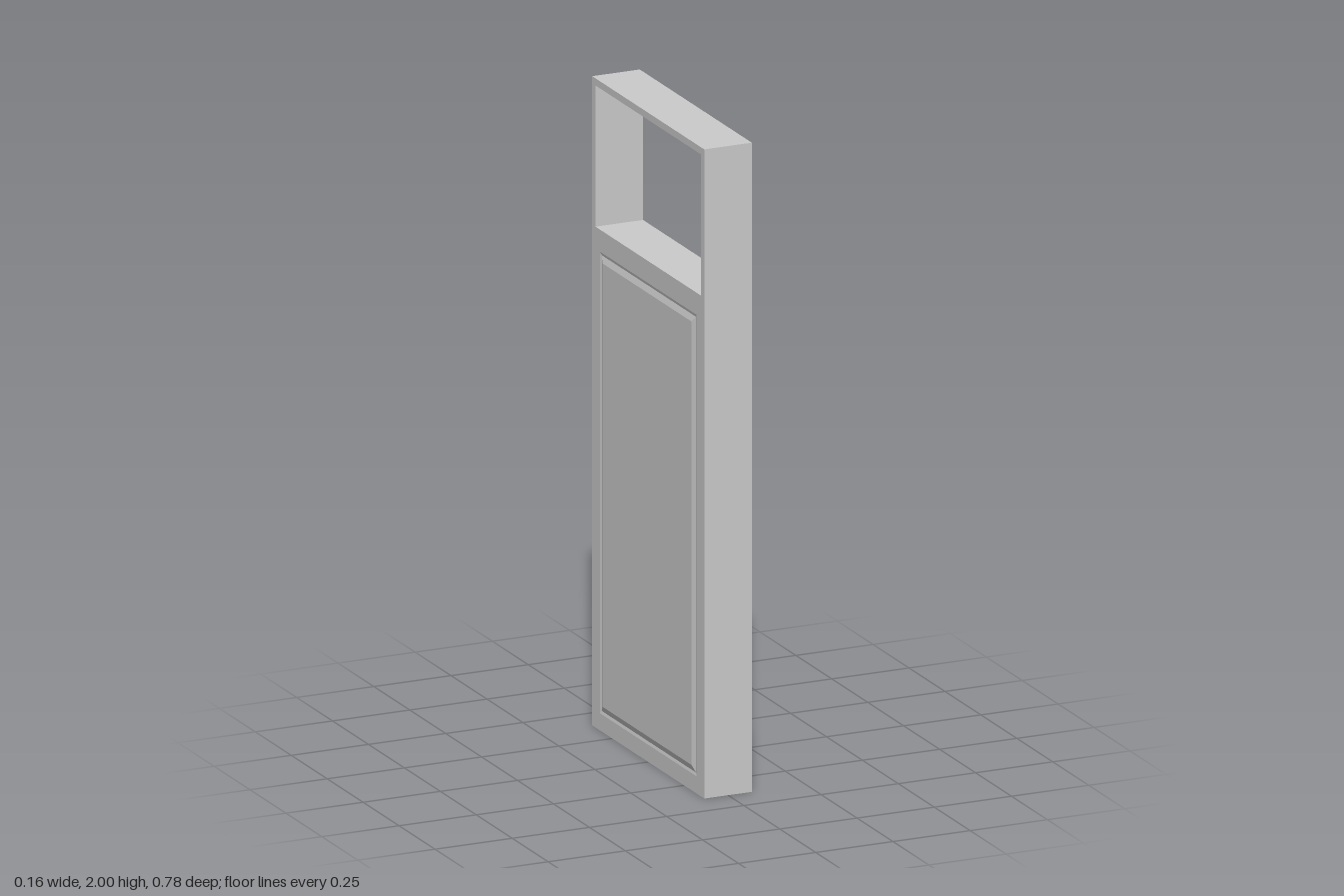
import * as THREE from 'three';

const T = 0.077; // half thickness
const W = 0.39;  // half width
const material = new THREE.MeshStandardMaterial({ color: 0xcccccc, flatShading: true });

// Rectangle at depth x, anticlockwise as seen from +x
const ring = (x, h, y0, y1) => [[x, y0, h], [x, y0, -h], [x, y1, -h], [x, y1, h]];

// Skin a sequence of rectangles, optionally closing the last one
function skin(rings, cap = false) {
  const pos = [];
  const quad = (a, b, c, d) => pos.push(...a, ...b, ...c, ...a, ...c, ...d);
  for (let r = 0; r < rings.length - 1; r++) {
    for (let i = 0; i < 4; i++) {
      const j = (i + 1) % 4;
      quad(rings[r][i], rings[r][j], rings[r + 1][j], rings[r + 1][i]);
    }
  }
  if (cap) quad(...rings[rings.length - 1]);
  const g = new THREE.BufferGeometry();
  g.setAttribute('position', new THREE.Float32BufferAttribute(pos, 3));
  g.computeVertexNormals();
  return g;
}

function rectPath(path, h, y0, y1) {
  path.moveTo(-h, y0);
  path.lineTo(h, y0);
  path.lineTo(h, y1);
  path.lineTo(-h, y1);
  path.closePath();
  return path;
}

export function createModel() {
  const group = new THREE.Group();
  group.name = 'doorPanel';
  const add = (name, geometry, parent = group) => {
    const mesh = new THREE.Mesh(geometry, material);
    mesh.name = name;
    parent.add(mesh);
  };

  const opening = [0.367, 1.543, 1.978];
  const recess = [0.337, 0.053, 1.475];

  // Outer edges and the walls of the window opening
  add('outerEdges', skin([ring(-T, W, 0, 2), ring(T, W, 0, 2)]));
  add('openingWalls', skin([ring(T, ...opening), ring(-T, ...opening)]));

  // Flat face around the window and the panel
  const face = rectPath(new THREE.Shape(), W, 0, 2);
  face.holes.push(rectPath(new THREE.Path(), ...opening), rectPath(new THREE.Path(), ...recess));
  const faceGeometry = new THREE.ShapeGeometry(face).rotateY(Math.PI / 2).translate(T, 0, 0);

  // Raised panel: shallow groove, then a bevel up to a flat field
  const inset = (x, d) => ring(x, recess[0] - d, recess[1] + d, recess[2] - d);
  const panelGeometry = skin([inset(T, 0), inset(0.0747, 0.009), inset(0.081, 0.028)], true);

  for (const side of ['left', 'right']) {
    const half = new THREE.Group();
    half.name = side + 'Side';
    add(side + 'Face', faceGeometry, half);
    add(side + 'RaisedPanel', panelGeometry, half);
    if (side === 'right') half.rotation.y = Math.PI;
    group.add(half);
  }
  return group;
}
